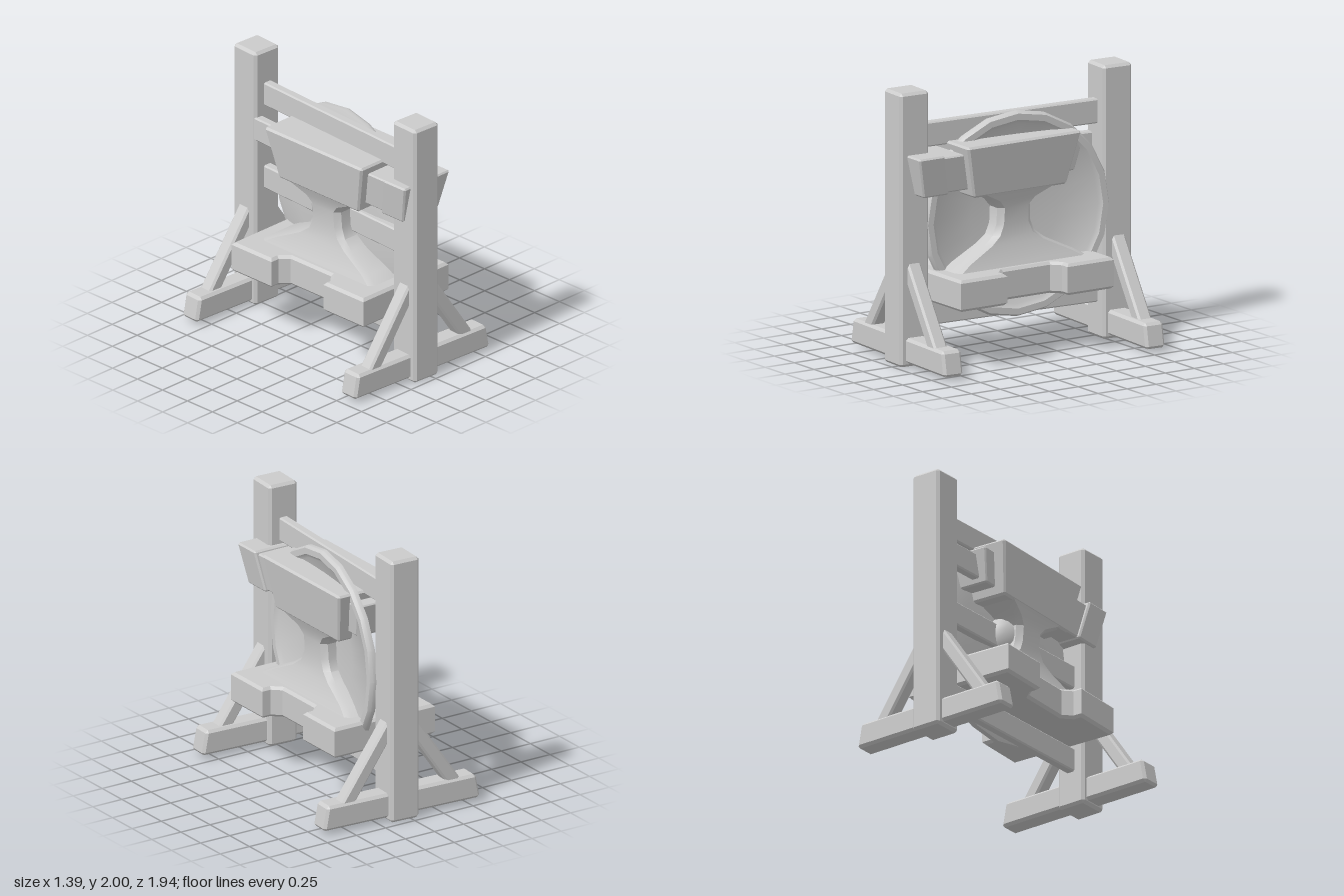
import * as THREE from 'three';
import { ConvexGeometry } from 'three/addons/geometries/ConvexGeometry.js';
import { toCreasedNormals } from 'three/addons/utils/BufferGeometryUtils.js';

const grey = new THREE.MeshStandardMaterial({ color: 0xcccccc, side: THREE.DoubleSide });

function add(parent, name, geometry, x = 0, y = 0, z = 0) {
  const mesh = new THREE.Mesh(geometry, grey);
  mesh.name = name;
  mesh.position.set(x, y, z);
  parent.add(mesh);
  return mesh;
}

// Box with chamfered edges; bend(point) may reshape its corners
function block(w, h, d, bevel = 0.015, bend = () => {}) {
  const half = [w / 2, h / 2, d / 2];
  const points = [];
  for (const sx of [-1, 1]) for (const sy of [-1, 1]) for (const sz of [-1, 1]) {
    for (let axis = 0; axis < 3; axis++) {
      const c = [sx, sy, sz].map((s, i) => s * (half[i] - (i === axis ? 0 : bevel)));
      const p = new THREE.Vector3(...c);
      bend(p);
      points.push(p);
    }
  }
  return new ConvexGeometry(points);
}

// Waist skinned over chamfered rectangles: [y, half x, half z]
function waistGeometry(rows) {
  const pos = [], index = [], n = 8;
  for (const [y, a, b] of rows) {
    const c = 0.04;
    const ring = [[a, b - c], [a - c, b], [c - a, b], [-a, b - c], [-a, c - b], [c - a, -b], [a - c, -b], [a, c - b]];
    for (const [x, z] of ring) pos.push(x, y, z);
  }
  for (let r = 0; r < rows.length - 1; r++) for (let i = 0; i < n; i++) {
    const p = r * n + i, q = r * n + (i + 1) % n;
    index.push(p, q, p + n, q, q + n, p + n);
  }
  const g = new THREE.BufferGeometry();
  g.setAttribute('position', new THREE.Float32BufferAttribute(pos, 3));
  g.setIndex(index);
  return toCreasedNormals(g, 0.6);
}

function buildRack() {
  const rack = new THREE.Group();
  rack.name = 'rack';
  rack.rotation.y = -0.055;
  for (const s of [1, -1]) {
    const end = new THREE.Group();
    end.name = s > 0 ? 'frontStand' : 'backStand';
    if (s < 0) end.rotation.y = Math.PI;
    rack.add(end);
    // Post, slightly slimmer at mid height by its tapered ends
    add(end, 'post', block(0.235, 2, 0.24, 0.02), 0, 1, 0.845);
    add(end, 'foot', block(1.3, 0.185, 0.16, 0.02, p => {
      p.x *= 1 - 0.3 * (p.y + 0.09);
    }), 0, 0.12, 0.84);
    for (const side of [-1, 1]) {
      const brace = add(end, 'brace', block(0.1, 0.72, 0.11), side * 0.27, 0.44, 0.85);
      brace.rotation.z = side * 0.6;
    }
  }
  // Planks joining the posts: [height, sideways shift]
  for (const [y, x] of [[0.35, 0], [1.0, 0], [1.4, -0.08], [1.655, 0]]) {
    add(rack, 'rail', block(0.07, 0.18, 1.54, 0.01), x, y, 0);
  }
  return rack;
}

function buildAnvil() {
  const anvil = new THREE.Group();
  anvil.name = 'anvil';
  // Base with a chamfered notch on each long side
  const side = [[0.41, -0.60], [0.41, -0.24], [0.35, -0.24], [0.275, -0.17], [0.275, 0.25], [0.35, 0.32], [0.41, 0.32], [0.41, 0.68]];
  const outline = [...side, ...side.map(([x, z]) => [-x, z]).reverse()];
  const shape = new THREE.Shape(outline.map(([x, z]) => new THREE.Vector2(x, -z)));
  const base = new THREE.ExtrudeGeometry(shape, {
    depth: 0.19, bevelEnabled: true, bevelSize: 0.02, bevelThickness: 0.02, bevelSegments: 1,
  });
  base.rotateX(-Math.PI / 2);
  add(anvil, 'base', base, 0, 0.46, 0);

  add(anvil, 'waist', waistGeometry([
    [0.65, 0.26, 0.59], [0.72, 0.225, 0.47], [0.82, 0.19, 0.26], [0.88, 0.175, 0.18],
    [0.96, 0.17, 0.145], [1.08, 0.175, 0.14], [1.14, 0.19, 0.19], [1.21, 0.22, 0.33],
  ]), 0, 0, 0.045);

  // Tapered top block
  add(anvil, 'face', block(0.5, 0.39, 0.89, 0.015, p => {
    p.x *= 1 + 0.6 * p.y;
    p.z *= 1 + 0.53 * p.y;
  }), 0, 1.395, 0.043);
  // Horn leaning outward, its neck, and the short heel behind
  const lean = k => p => {
    p.x *= 1 + 0.8 * p.y;
    p.z += k * p.y;
  };
  add(anvil, 'hornNeck', block(0.36, 0.27, 0.28, 0.01, lean(0.23)), 0, 1.39, 0.56);
  add(anvil, 'horn', block(0.41, 0.3, 0.22, 0.012, lean(0.23)), 0, 1.395, 0.773);
  add(anvil, 'heel', block(0.32, 0.25, 0.2, 0.01, lean(-0.25)), 0, 1.395, -0.408);
  return anvil;
}

function buildShield() {
  const shield = new THREE.Group();
  shield.name = 'shield';
  shield.position.set(0.11, 1.01, 0);
  shield.rotation.y = -0.093;
  // Domed disc with a raised rim on the hollow side and a round boss
  const profile = [
    [0, 0.06], [0.35, 0.045], [0.66, 0], [0.69, -0.025], [0.735, -0.025], [0.75, 0], [0.75, 0.03],
    [0.67, 0.06], [0.45, 0.09], [0.19, 0.11], [0.18, 0.16], [0.14, 0.21], [0.08, 0.24], [0, 0.25],
  ].map(([r, y]) => new THREE.Vector2(r, y));
  const disc = add(shield, 'disc', toCreasedNormals(new THREE.LatheGeometry(profile, 20), 0.6));
  disc.rotation.z = Math.PI / 2;
  return shield;
}

export function createModel() {
  const model = new THREE.Group();
  model.name = 'anvilAndShieldRack';
  model.add(buildRack(), buildAnvil(), buildShield());
  return model;
}
